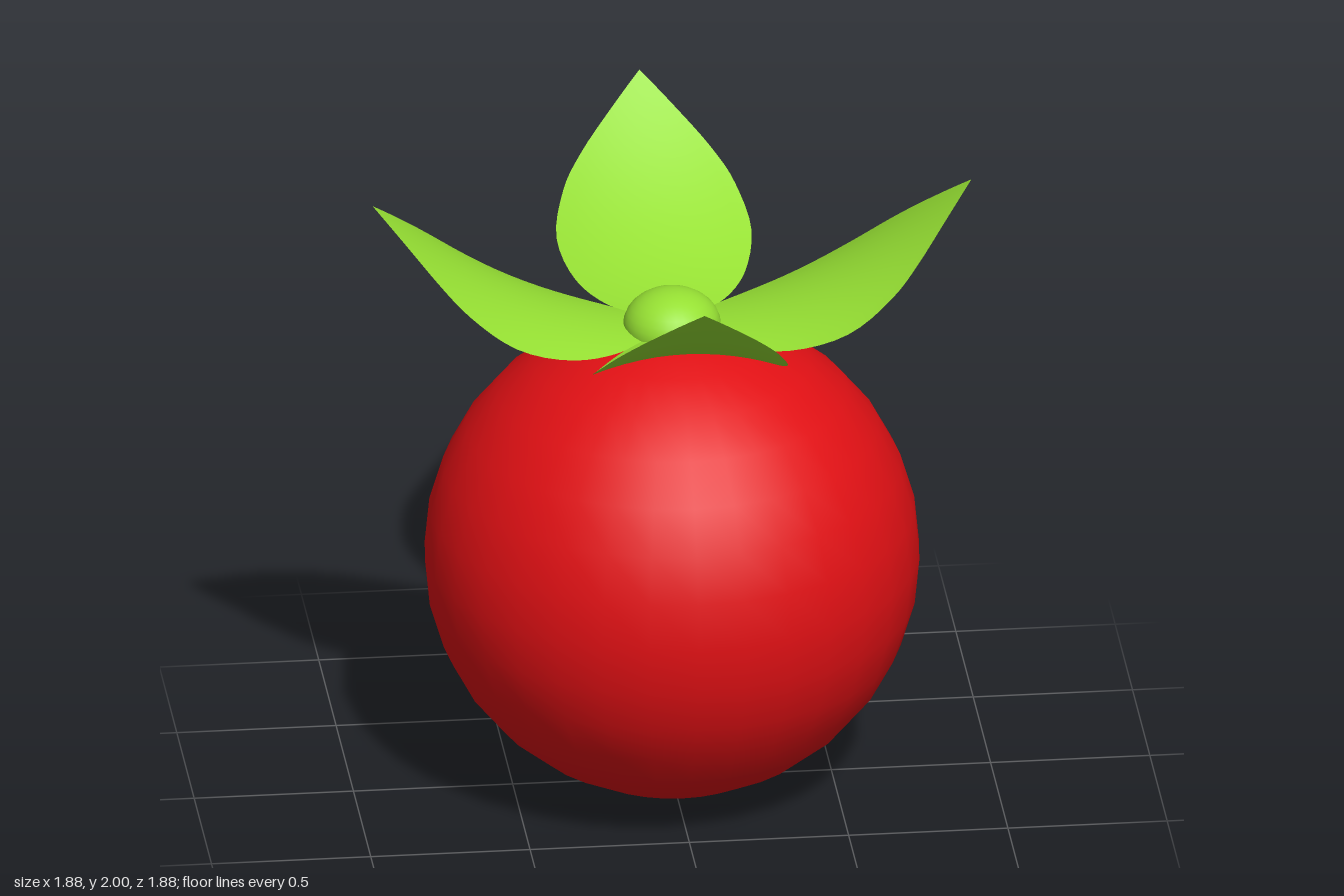
import * as THREE from 'three';

const RED = 0xe01014;
const GREEN = 0x96e033;

// Leaf outline seen from above: distance along the leaf, half width
const outline = new THREE.SplineCurve([
  [0, 0.005], [0.1, 0.1], [0.19, 0.185], [0.34, 0.265], [0.52, 0.306],
  [0.66, 0.27], [0.75, 0.205], [0.85, 0.1], [0.94, 0],
].map(([x, w]) => new THREE.Vector2(x, w)));

// One leaf pointing along +x: sweeps upward to the tip, its edges drooping
function leafGeometry() {
  const geo = new THREE.PlaneGeometry(1, 2, 32, 12).rotateX(-Math.PI / 2);
  const pos = geo.attributes.position;
  for (let i = 0; i < pos.count; i++) {
    const t = THREE.MathUtils.clamp(pos.getX(i) + 0.5, 0, 1);
    const p = outline.getPoint(t);
    const z = pos.getZ(i) * Math.max(p.y, 0);
    pos.setXYZ(i, p.x, 1.545 + 0.515 * p.x * p.x - 0.62 * z * z, z);
  }
  geo.computeVertexNormals();
  return geo;
}

export function createModel() {
  const model = new THREE.Group();
  model.name = 'berry';
  const add = (name, geo, material) => {
    const mesh = new THREE.Mesh(geo, material);
    mesh.name = name;
    model.add(mesh);
    return mesh;
  };

  // Round fruit
  const red = new THREE.MeshStandardMaterial({ color: RED });
  add('fruit', new THREE.SphereGeometry(0.775, 32, 16), red).position.y = 0.775;

  // Four leaves around the top
  const leafGreen = new THREE.MeshStandardMaterial({ color: GREEN, side: THREE.DoubleSide });
  const leaf = leafGeometry();
  for (let i = 0; i < 4; i++) {
    add('leaf' + (i + 1), leaf, leafGreen).rotation.y = (i * Math.PI) / 2;
  }

  // Low rounded stem bud in the middle
  const green = new THREE.MeshStandardMaterial({ color: GREEN });
  const bud = add('stemBud', new THREE.SphereGeometry(0.153, 32, 16), green);
  bud.scale.y = 0.76;
  bud.position.y = 1.55;

  return model;
}
